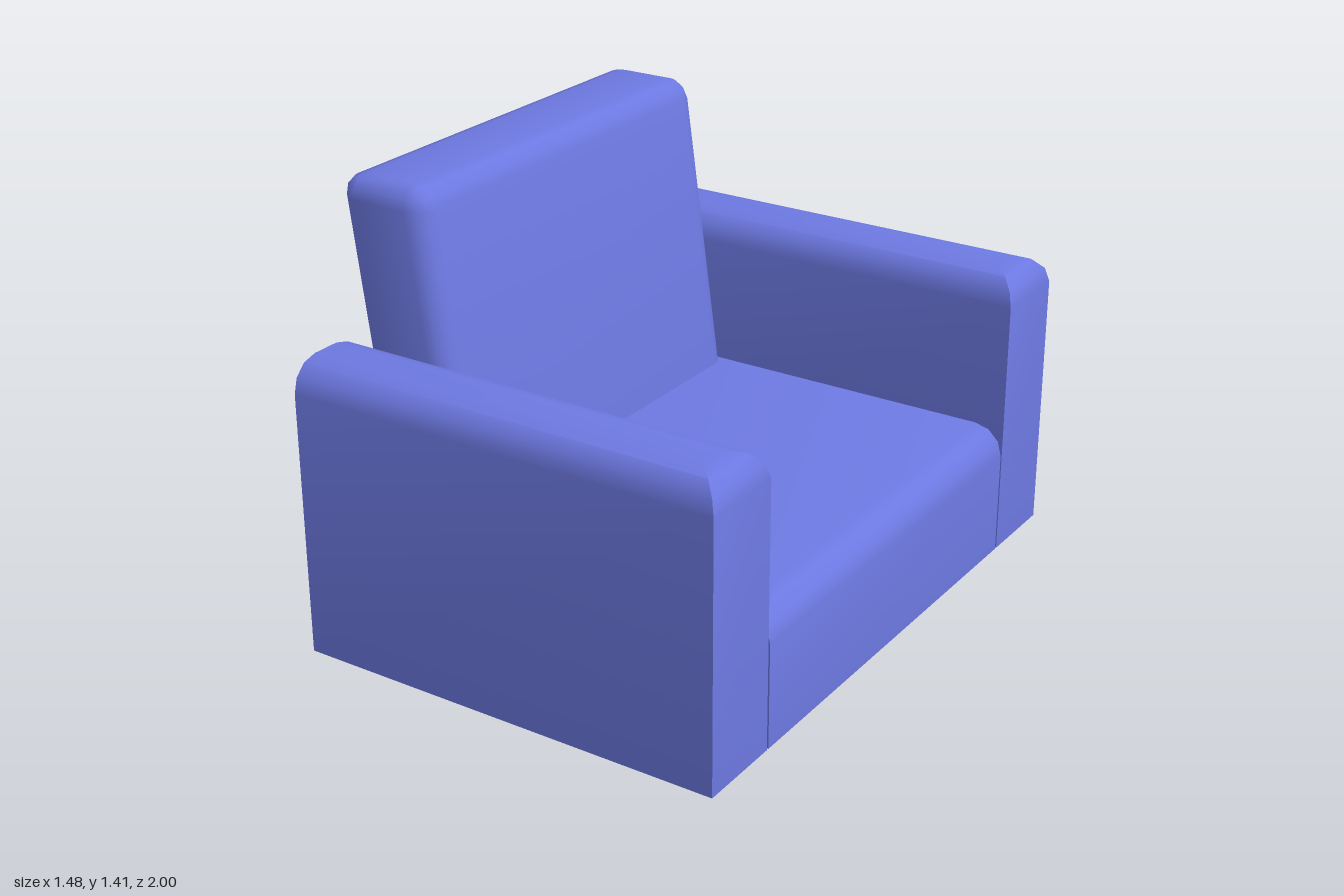
import * as THREE from 'three';
import { toCreasedNormals } from 'three/addons/utils/BufferGeometryUtils.js';

const STEPS = 3; // facets per rounded edge

// Skins a stack of closed rings (counter-clockwise from above) and caps both ends
function loft(rings) {
  const pos = [];
  const tri = (a, b, c) => pos.push(...a, ...b, ...c);
  const n = rings[0].length;
  for (let k = 0; k + 1 < rings.length; k++) {
    const lo = rings[k], hi = rings[k + 1];
    for (let i = 0; i < n; i++) {
      const j = (i + 1) % n;
      tri(lo[i], lo[j], hi[j]);
      tri(lo[i], hi[j], hi[i]);
    }
  }
  const bottom = rings[0], top = rings[rings.length - 1];
  for (let i = 1; i + 1 < n; i++) {
    tri(top[0], top[i], top[i + 1]);
    tri(bottom[0], bottom[i + 1], bottom[i]);
  }
  const geo = new THREE.BufferGeometry();
  geo.setAttribute('position', new THREE.Float32BufferAttribute(pos, 3));
  return toCreasedNormals(geo, 0.75);
}

// Heights and insets of a quarter-round shoulder of radius r ending at height y1
function shoulder(y0, y1, r) {
  const levels = [{ y: y0, inset: 0 }];
  for (let s = 0; s <= STEPS; s++) {
    const a = (s / STEPS) * Math.PI / 2;
    levels.push({ y: y1 - r + r * Math.sin(a), inset: r * (1 - Math.cos(a)) });
  }
  return levels;
}

// Block with a rounded top front edge and, optionally, rounded top side edges
function paddedBlock(x0, x1, halfZ, height, r, roundSides) {
  return loft(shoulder(0, height, r).map(({ y, inset }) => {
    const z = halfZ - (roundSides ? inset : 0), front = x1 - inset;
    return [[front, y, z], [front, y, -z], [x0, y, -z], [x0, y, z]];
  }));
}

// Cushion with rounded top and upright edges, leaning back by shear
function leaningCushion(x0, x1, halfZ, y0, y1, r, lean) {
  const cx = (x0 + x1) / 2, hx = (x1 - x0) / 2 - r, hz = halfZ - r;
  return loft(shoulder(y0, y1, r).map(({ y, inset }) => {
    const ring = [];
    for (let q = 0; q < 4; q++) {
      const sx = q === 0 || q === 3 ? 1 : -1, sz = q < 2 ? -1 : 1;
      for (let s = 0; s <= STEPS; s++) {
        const a = (q + s / STEPS) * Math.PI / 2;
        ring.push([
          cx + sx * hx + (r - inset) * Math.cos(a) - lean * (y - y0),
          y,
          sz * hz - (r - inset) * Math.sin(a),
        ]);
      }
    }
    return ring;
  }));
}

export function createModel() {
  const group = new THREE.Group();
  group.name = 'armchair';
  const fabric = new THREE.MeshStandardMaterial({ color: 0x6c78e0 });
  const add = (name, geo, z = 0) => {
    const mesh = new THREE.Mesh(geo, fabric);
    mesh.name = name;
    mesh.position.z = z;
    group.add(mesh);
  };

  // Seat block, rounded only along its front edge
  add('seat', paddedBlock(-0.68, 0.74, 0.71, 0.43, 0.095, false));

  // Matching armrests on either side of the seat
  const arm = paddedBlock(-0.68, 0.74, 0.141, 0.937, 0.095, true);
  add('armrestNear', arm, 0.859);
  add('armrestFar', arm, -0.859);

  // Backrest leaning away from the seat
  add('backrest', leaningCushion(-0.615, -0.303, 0.705, 0.437, 1.407, 0.066, 0.138));

  return group;
}
